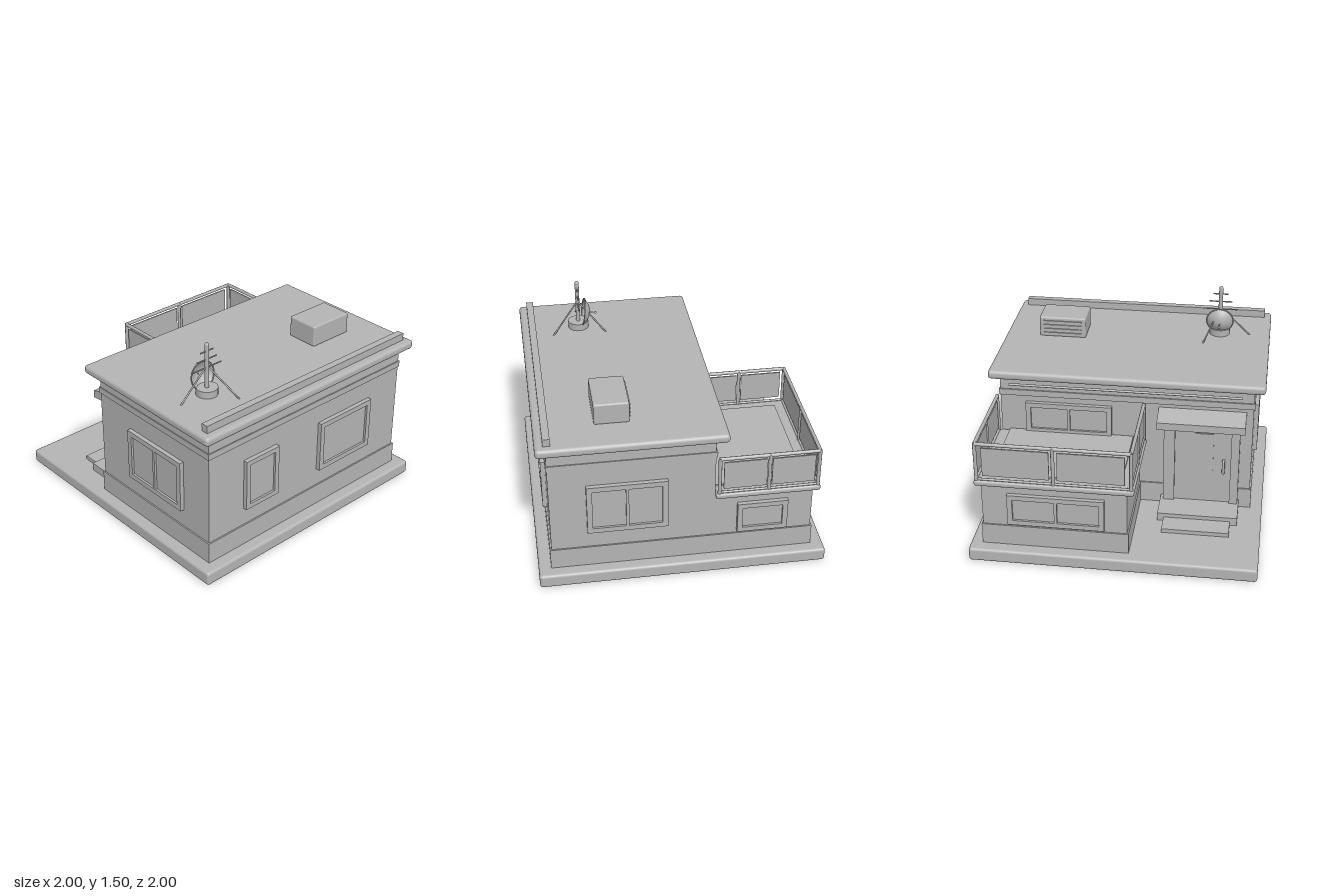
import * as THREE from 'three';
import { RoundedBoxGeometry } from 'three/addons/geometries/RoundedBoxGeometry.js';

const grey = new THREE.MeshStandardMaterial({ color: 0xb4b4b4 });
grey.name = 'plain grey';
grey.side = THREE.DoubleSide;

function add(parent, name, geometry) {
  const mesh = new THREE.Mesh(geometry, grey);
  mesh.name = name;
  parent.add(mesh);
  return mesh;
}

// Box given by its limits on each axis; radius > 0 rounds the edges
function box(parent, name, x0, x1, y0, y1, z0, z1, radius = 0) {
  const s = [x1 - x0, y1 - y0, z1 - z0];
  const g = radius ? new RoundedBoxGeometry(...s, 2, radius) : new THREE.BoxGeometry(...s);
  const mesh = add(parent, name, g);
  mesh.position.set((x0 + x1) / 2, (y0 + y1) / 2, (z0 + z1) / 2);
  return mesh;
}

// Round bar between two points
function bar(parent, name, a, b, r, sides = 8) {
  const p = new THREE.Vector3(...a), q = new THREE.Vector3(...b);
  const d = q.clone().sub(p);
  const mesh = add(parent, name, new THREE.CylinderGeometry(r, r, d.length(), sides));
  mesh.position.copy(p).add(q).multiplyScalar(0.5);
  mesh.quaternion.setFromUnitVectors(new THREE.Vector3(0, 1, 0), d.normalize());
  return mesh;
}

// Rectangular frame with a recessed pane, facing +z, back on z = 0
function windowUnit(name, w, h, depth, rim, panes) {
  const group = new THREE.Group();
  group.name = name;
  const shape = new THREE.Shape();
  shape.moveTo(-w / 2, -h / 2).lineTo(w / 2, -h / 2).lineTo(w / 2, h / 2).lineTo(-w / 2, h / 2).closePath();
  const gap = 0.02, iw = w - 2 * rim, pw = (iw - gap * (panes - 1)) / panes, t = h / 2 - rim;
  for (let i = 0; i < panes; i++) {
    const x0 = -iw / 2 + i * (pw + gap), x1 = x0 + pw;
    const hole = new THREE.Path();
    hole.moveTo(x0, -t).lineTo(x0, t).lineTo(x1, t).lineTo(x1, -t).closePath();
    shape.holes.push(hole);
  }
  add(group, 'windowFrame', new THREE.ExtrudeGeometry(shape, { depth, bevelEnabled: false }));
  box(group, 'windowPane', -iw / 2, iw / 2, -t, t, 0, depth * 0.5);
  return group;
}

function placeWindow(parent, name, w, h, rim, panes, x, y, z, turn) {
  const unit = windowUnit(name, w, h, 0.032, rim, panes);
  unit.position.set(x, y, z);
  unit.rotation.y = turn;
  parent.add(unit);
}

function buildBalcony(parent) {
  const g = new THREE.Group();
  g.name = 'balcony';
  parent.add(g);
  box(g, 'balconySlab', -0.15, 0.945, 0.58, 0.625, -0.945, -0.22, 0.018);
  box(g, 'balconyFloor', -0.055, 0.845, 0.62, 0.637, -0.85, -0.23);
  // One run of railing: two rails, three posts and two panels
  function run(a, b) {
    const at = (t, y) => [a[0] + (b[0] - a[0]) * t, y, a[1] + (b[1] - a[1]) * t];
    bar(g, 'topRail', at(0, 0.903), at(1, 0.903), 0.013);
    bar(g, 'bottomRail', at(0, 0.63), at(1, 0.63), 0.009);
    for (const t of [0, 0.5, 1]) bar(g, 'railPost', at(t, 0.61), at(t, 0.91), 0.013);
    const alongX = a[1] === b[1];
    for (const [s, e] of [[0.04, 0.475], [0.525, 0.96]]) {
      const p = at(s, 0), q = at(e, 0), k = 0.005;
      const dx = alongX ? 0 : k, dz = alongX ? k : 0;
      box(g, 'railPanel', Math.min(p[0], q[0]) - dx, Math.max(p[0], q[0]) + dx, 0.66, 0.875,
        Math.min(p[2], q[2]) - dz, Math.max(p[2], q[2]) + dz);
    }
  }
  run([0.925, -0.245], [0.925, -0.925]);
  run([-0.13, -0.925], [0.925, -0.925]);
  run([-0.13, -0.245], [-0.13, -0.925]);
}

function buildEntrance(parent) {
  const g = new THREE.Group();
  g.name = 'entrance';
  parent.add(g);
  box(g, 'lowerStep', -0.78, -0.305, 0.1, 0.13, -0.63, -0.4);
  box(g, 'upperStep', -0.83, -0.26, 0.1, 0.16, -0.48, -0.21);
  // Door surround
  box(g, 'doorFrameSide', -0.82, -0.76, 0.15, 0.82, -0.29, -0.21);
  box(g, 'doorFrameSide', -0.36, -0.28, 0.15, 0.82, -0.29, -0.21);
  box(g, 'doorFrameTop', -0.76, -0.36, 0.755, 0.82, -0.29, -0.21);
  box(g, 'door', -0.76, -0.36, 0.15, 0.755, -0.27, -0.21);
  box(g, 'doorWindow', -0.635, -0.505, 0.42, 0.72, -0.278, -0.268);
  box(g, 'doorHandle', -0.72, -0.7, 0.41, 0.52, -0.31, -0.268, 0.008);
  // Sloping canopy, extruded along x from its side profile
  const s = new THREE.Shape();
  s.moveTo(0.21, 0.8).lineTo(0.375, 0.785).lineTo(0.375, 0.84).lineTo(0.21, 0.885).closePath();
  const canopy = add(g, 'canopy', new THREE.ExtrudeGeometry(s, { depth: 0.62, bevelEnabled: false }));
  canopy.rotation.y = Math.PI / 2;
  canopy.position.x = -0.855;
}

function buildAntenna(parent) {
  const g = new THREE.Group();
  g.name = 'antenna';
  g.position.set(-0.605, 0, 0.55);
  parent.add(g);
  bar(g, 'antennaBase', [0, 1.11, 0], [0, 1.175, 0], 0.075, 24);
  bar(g, 'mast', [0, 1.12, 0], [0, 1.485, 0], 0.015, 12);
  add(g, 'mastTip', new THREE.SphereGeometry(0.015, 12, 8)).position.y = 1.485;
  for (const [y, half] of [[1.44, 0.055], [1.38, 0.085], [1.32, 0.125]])
    bar(g, 'crossBar', [-half, y, 0], [half, y, 0], 0.005, 6);
  for (let i = 0; i < 3; i++) {
    const a = Math.PI + i * Math.PI * 2 / 3;
    bar(g, 'stayLeg', [0, 1.335, 0], [Math.cos(a) * 0.225, 1.12, Math.sin(a) * 0.225], 0.006, 6);
  }
  // Shallow dish with a small feed behind it
  const dish = new THREE.Group();
  dish.name = 'dish';
  const profile = [];
  for (let i = 0; i <= 6; i++) {
    const r = 0.1 * i / 6;
    profile.push(new THREE.Vector2(r, 0.05 * (r / 0.1) ** 2));
  }
  add(dish, 'dishBowl', new THREE.LatheGeometry(profile, 28));
  add(dish, 'dishRim', new THREE.TorusGeometry(0.098, 0.005, 6, 28)).rotation.x = Math.PI / 2;
  dish.children[1].position.y = 0.05;
  bar(dish, 'feedArm', [0, 0.01, 0], [0, -0.04, 0], 0.004, 6);
  add(dish, 'feed', new THREE.SphereGeometry(0.01, 10, 8)).position.y = -0.04;
  dish.rotation.x = Math.PI / 2 - 0.15;
  dish.position.set(0, 1.235, -0.09);
  g.add(dish);
}

export function createModel() {
  const house = new THREE.Group();
  house.name = 'house';
  box(house, 'base', -1, 1, 0, 0.1, -1, 1, 0.02);

  // Main block and rear wing
  box(house, 'mainWalls', -0.905, 0.905, 0.09, 1.08, -0.22, 0.905);
  box(house, 'mainPlinth', -0.915, 0.915, 0.09, 0.255, -0.23, 0.915);
  box(house, 'wallBand', -0.912, 0.912, 0.91, 0.955, -0.23, 0.912);
  box(house, 'wingWalls', -0.1, 0.905, 0.09, 0.59, -0.9, -0.2);
  box(house, 'wingPlinth', -0.11, 0.915, 0.09, 0.255, -0.91, -0.2);

  // Roof
  box(house, 'roof', -0.98, 0.975, 1.06, 1.125, -0.3, 0.975, 0.025);
  box(house, 'parapet', -0.93, 0.92, 1.11, 1.178, 0.87, 0.92);
  bar(house, 'gutter', [-0.82, 1.035, -0.305], [0.82, 1.035, -0.305], 0.009);

  // Windows
  placeWindow(house, 'frontSmallWindow', 0.295, 0.38, 0.035, 1, -0.452, 0.58, 0.904, 0);
  placeWindow(house, 'frontWideWindow', 0.505, 0.38, 0.037, 1, 0.348, 0.58, 0.904, 0);
  for (const side of [1, -1])
    placeWindow(house, 'sideWindow', 0.55, 0.38, 0.038, 2, side * 0.904, 0.58, 0.38, side * Math.PI / 2);
  placeWindow(house, 'wingSideWindow', 0.35, 0.235, 0.036, 1, 0.904, 0.397, -0.55, Math.PI / 2);
  placeWindow(house, 'wingBackWindow', 0.67, 0.235, 0.036, 2, 0.39, 0.397, -0.899, Math.PI);
  placeWindow(house, 'balconyWindow', 0.62, 0.24, 0.036, 2, 0.41, 0.745, -0.219, Math.PI);

  buildBalcony(house);
  buildEntrance(house);
  buildAntenna(house);

  // Rooftop cooling unit with louvres
  box(house, 'coolingUnit', 0.375, 0.72, 1.12, 1.277, 0.33, 0.57, 0.014);
  for (let i = 0; i < 4; i++)
    box(house, 'louvre', 0.405, 0.69, 1.145 + i * 0.031, 1.157 + i * 0.031, 0.322, 0.34);
  return house;
}
